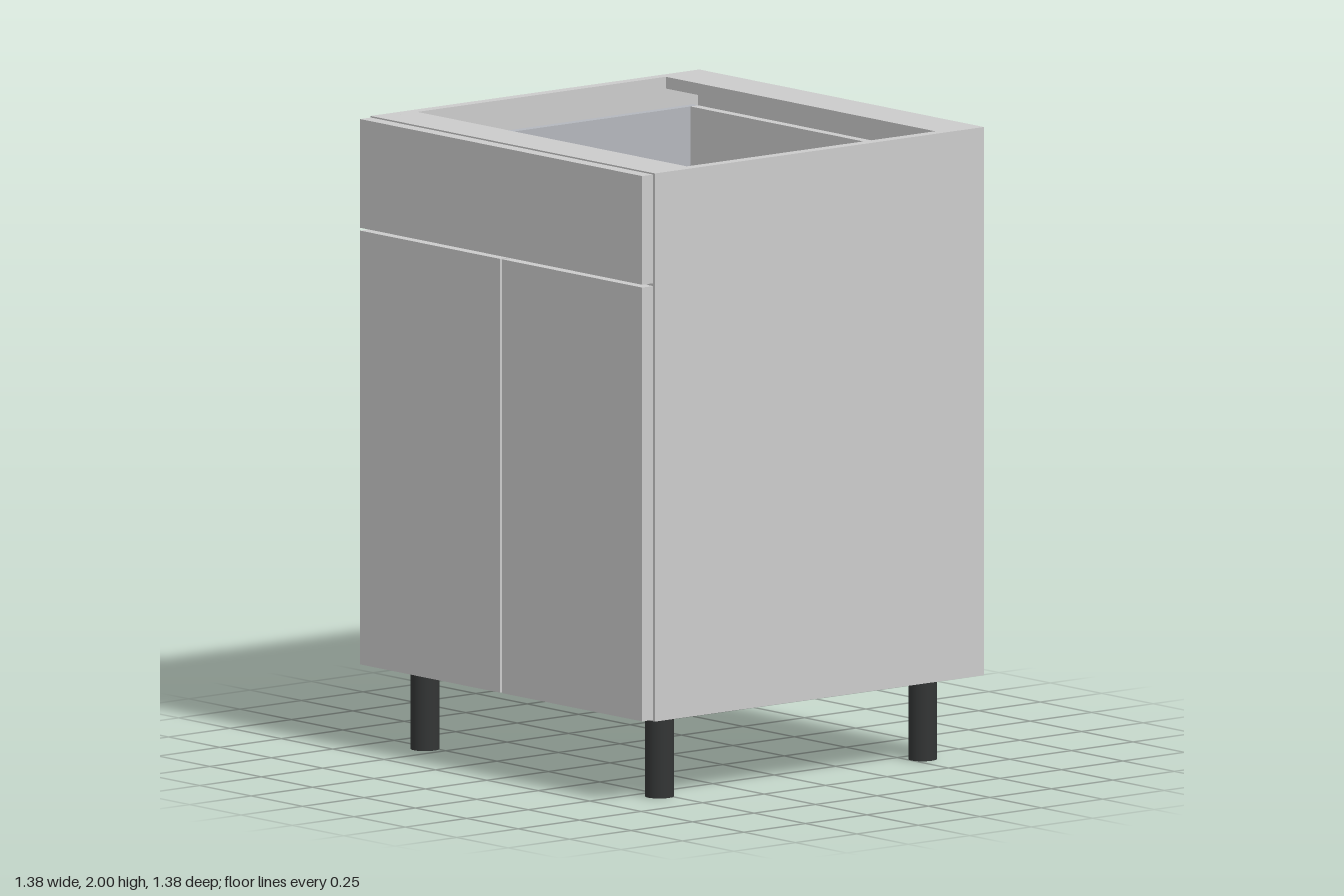
import * as THREE from 'three';

const grey = new THREE.MeshStandardMaterial({ color: 0xcccccc });
const metal = new THREE.MeshStandardMaterial({ color: 0xb4b7bd });
const black = new THREE.MeshStandardMaterial({ color: 0x333535 });

// Box given by its extents on each axis
function panel(name, [x0, x1], [y0, y1], [z0, z1], material = grey) {
  const mesh = new THREE.Mesh(new THREE.BoxGeometry(x1 - x0, y1 - y0, z1 - z0), material);
  mesh.position.set((x0 + x1) / 2, (y0 + y1) / 2, (z0 + z1) / 2);
  mesh.name = name;
  return mesh;
}

// Extent mirrored to the left (+x) or right (-x) side
const mirror = (side, a, b) => (side > 0 ? [a, b] : [-b, -a]);

export function createModel() {
  const model = new THREE.Group();
  model.name = 'baseCabinet';

  const W = 0.692, T = 0.037, IN = W - T; // half width, board thickness, inner half width
  const BOTTOM = 0.265, TOP = 2, BACK = -0.692, FRONT = 0.645;
  const inner = [-IN, IN];

  // Carcass
  const carcass = new THREE.Group();
  carcass.name = 'carcass';
  carcass.add(
    panel('bottomPanel', inner, [BOTTOM, BOTTOM + T], [BACK, FRONT]),
    panel('backPanel', inner, [BOTTOM + T, TOP - T], [BACK, BACK + T]),
    panel('backStretcher', inner, [TOP - T, TOP], [BACK, -0.525]),
    panel('frontStretcher', inner, [TOP - T, TOP], [0.485, FRONT]),
    panel('shelf', inner, [1.12, 1.157], [BACK + T, 0.6]),
  );
  model.add(carcass);

  // Drawer box and front
  const drawer = new THREE.Group();
  drawer.name = 'drawer';
  drawer.add(
    panel('drawerFloor', [-0.61, 0.61], [1.685, 1.715], [-0.62, 0.648]),
    panel('drawerBack', [-0.61, 0.61], [1.715, 1.905], [-0.62, -0.588]),
    panel('drawerFront', [-0.686, 0.686], [1.652, 1.996], [0.648, 0.692]),
  );
  model.add(drawer);

  for (const side of [1, -1]) {
    const label = side > 0 ? 'left' : 'right';
    carcass.add(panel(label + 'SidePanel', mirror(side, IN, W), [BOTTOM, TOP], [BACK, FRONT]));
    drawer.add(
      panel(label + 'DrawerSide', mirror(side, 0.61, 0.638), [1.685, 1.905], [-0.62, 0.648], metal),
      panel(label + 'DrawerRunner', mirror(side, 0.638, IN), [1.68, 1.74], [-0.6, 0.64]),
    );
    // Door, with a narrow gap at the centre
    model.add(panel(label + 'Door', mirror(side, 0.005, 0.686), [0.27, 1.643], [0.648, 0.692]));

    // Legs
    for (const [end, z] of [['Front', 0.525], ['Back', -0.545]]) {
      const leg = new THREE.Mesh(new THREE.CylinderGeometry(0.045, 0.045, BOTTOM, 32), black);
      leg.position.set(side * 0.57, BOTTOM / 2, z);
      leg.name = label + end + 'Leg';
      model.add(leg);
    }
  }

  return model;
}
